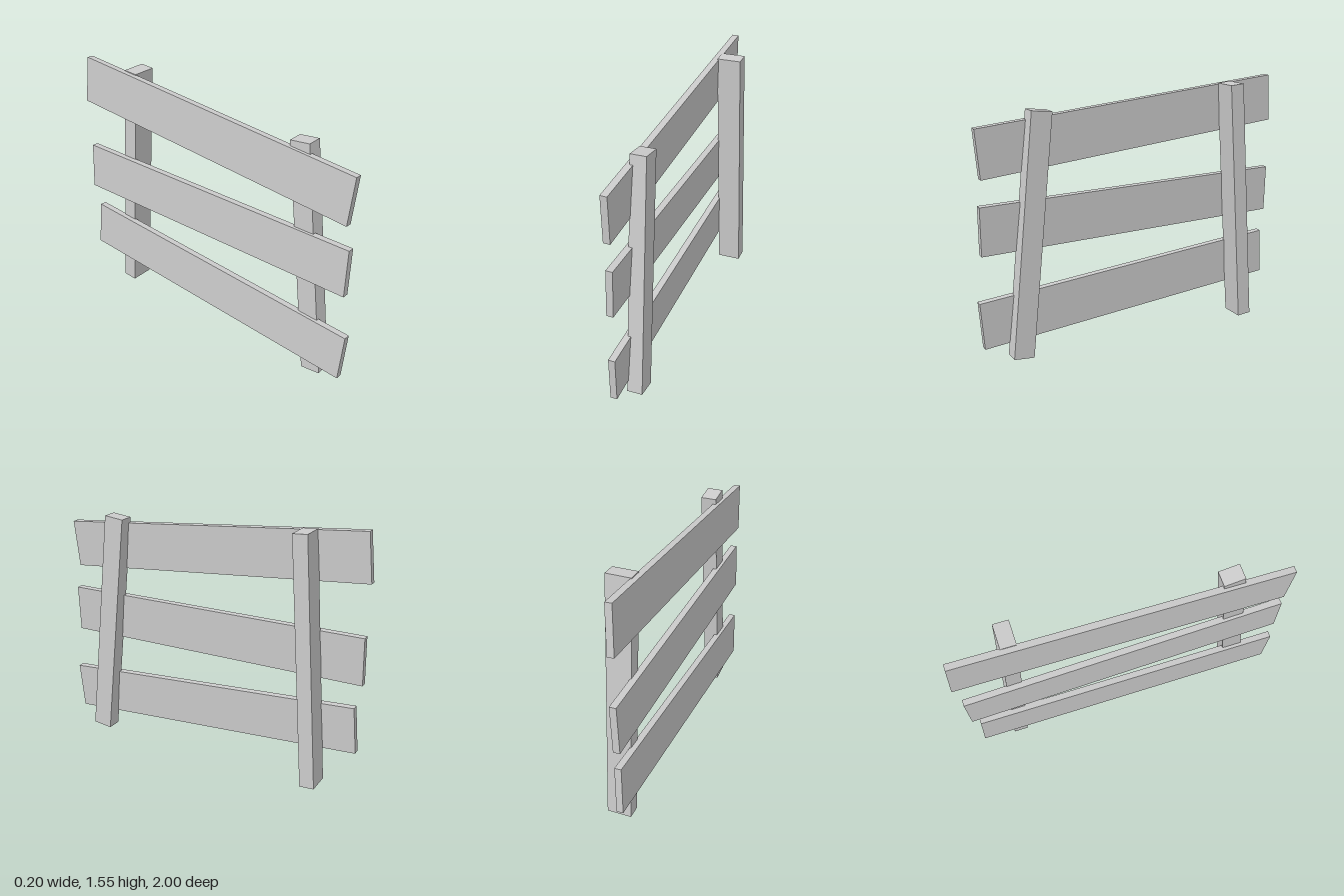
import * as THREE from 'three';

export function createModel() {
  const group = new THREE.Group();
  group.name = 'fence';
  const material = new THREE.MeshStandardMaterial({ color: 0xcccccc, flatShading: true });

  // A straight board: size, centre, slope about x, then lean about z
  function board(name, size, centre, slope, lean = 0) {
    const mesh = new THREE.Mesh(new THREE.BoxGeometry(...size), material);
    mesh.name = name;
    mesh.position.set(...centre);
    mesh.rotation.set(slope, 0, lean, 'ZYX');
    group.add(mesh);
  }

  // Crooked posts
  board('frontPost', [0.093, 1.45, 0.125], [-0.021, 0.733, 0.694], -0.109);
  board('backPost', [0.147, 1.52, 0.09], [0.0215, 0.77, -0.69], 0.0725);

  // Planks nailed to the posts at uneven slopes
  const planks = [
    ['bottomPlank', 0.302, 0.012, 0.0767],
    ['middlePlank', 0.8, -0.007, 0.009],
    ['topPlank', 1.32, -0.009, 0.092],
  ];
  for (const [name, y, z, slope] of planks) {
    board(name, [0.04, 0.291, 1.96], [-0.072, y, z], slope, -0.04);
  }

  return group;
}
